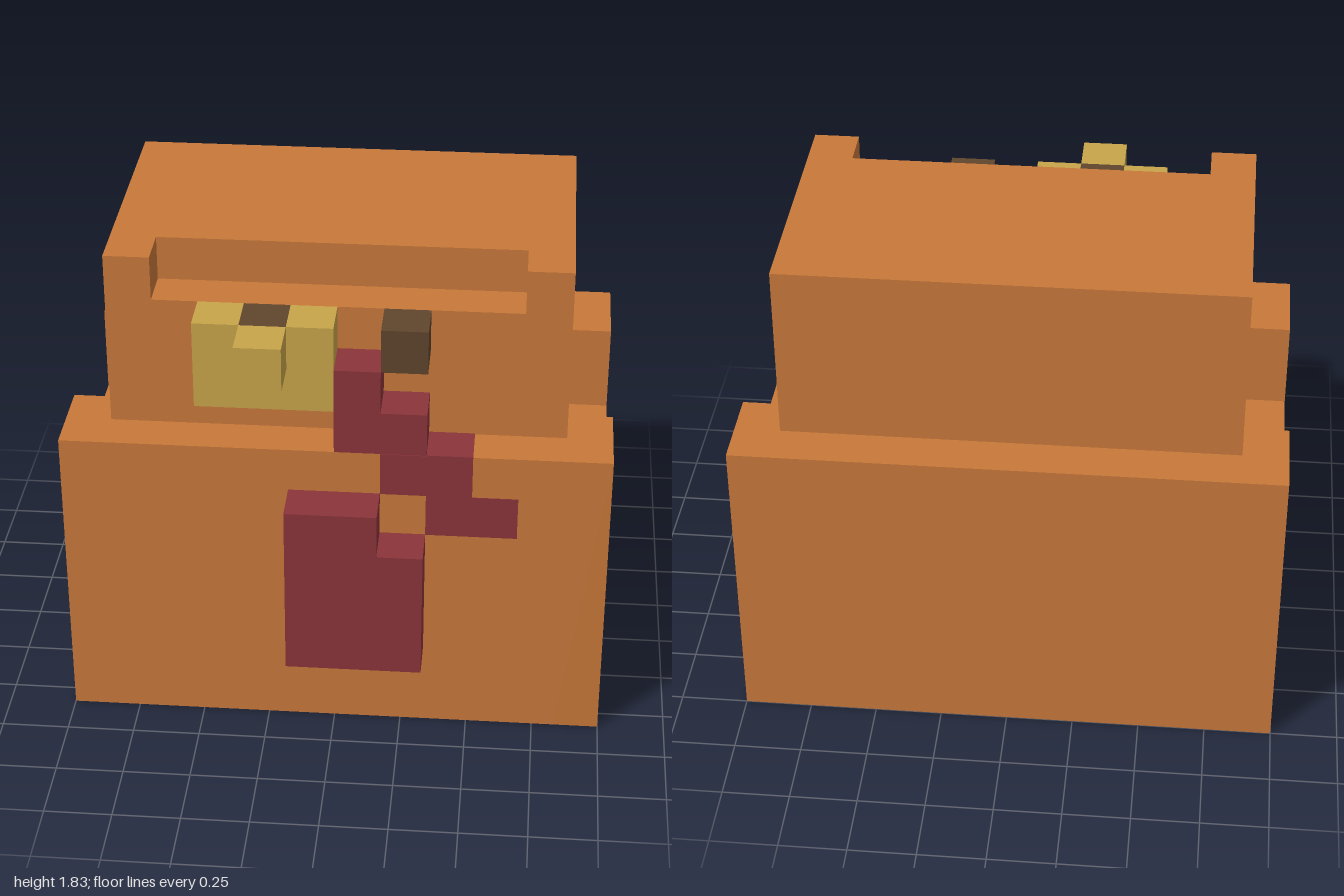
import * as THREE from 'three';

// One grid cell; all sizes below are counted in cells.
const U = 1 / 6;

function material(name, hex) {
  const m = new THREE.MeshStandardMaterial({ color: hex });
  m.name = name;
  return m;
}

export function createModel() {
  const model = new THREE.Group();
  model.name = 'blockCreature';

  const orange = material('orange', 0xc8783a);
  const yellow = material('yellow', 0xc8a54a);
  const brown = material('darkBrown', 0x5f452d);
  const maroon = material('maroon', 0x8b343a);

  function add(name, geometry, mat) {
    const mesh = new THREE.Mesh(geometry, mat);
    mesh.name = name;
    model.add(mesh);
    return mesh;
  }

  // Box spanning [x0,x1] x [y0,y1] x [z0,z1] in cells
  function block(name, mat, [x0, x1], [y0, y1], [z0, z1]) {
    const g = new THREE.BoxGeometry((x1 - x0) * U, (y1 - y0) * U, (z1 - z0) * U);
    g.translate((x0 + x1) * U / 2, (y0 + y1) * U / 2, (z0 + z1) * U / 2);
    return add(name, g, mat);
  }

  // Outline in cells, extruded one cell along +z
  function slab(points) {
    const shape = new THREE.Shape(points.map(([x, y]) => new THREE.Vector2(x * U, y * U)));
    return new THREE.ExtrudeGeometry(shape, { depth: U, bevelEnabled: false });
  }

  // Body core, with a notched slab on each side
  block('bodyCore', orange, [-5, 5], [0, 7], [-4.5, 3.5]);
  const sideOutline = [[-3.5, 0], [4.5, 0], [4.5, 7], [2.5, 7], [2.5, 5], [-1.5, 5], [-1.5, 7], [-3.5, 7]];
  for (const [name, x] of [['bodySideLeft', 5], ['bodySideRight', -6]]) {
    const g = slab(sideOutline);
    g.rotateY(Math.PI / 2); // outline x becomes -z, depth becomes +x
    g.translate(x * U, 0, 0);
    add(name, g, orange);
  }

  // Head, with a shallow step cut into the top front edge
  block('head', orange, [-5, 5], [7, 11], [-3.5, 1.5]);
  const brow = slab([[-5, 7], [5, 7], [5, 11], [4, 11], [4, 10], [-4, 10], [-4, 11], [-5, 11]]);
  brow.translate(0, 0, 1.5 * U);
  add('headFront', brow, orange);

  // Muzzle with a dark cell behind the protruding nose
  const face = [2.5, 3.5];
  block('muzzleLower', yellow, [-3, 0], [8, 9], face);
  block('muzzleRight', yellow, [-3, -2], [9, 10], face);
  block('muzzleLeft', yellow, [-1, 0], [9, 10], face);
  block('eyeRight', brown, [-2, -1], [9, 10], face);
  block('nose', yellow, [-2, -1], [9, 10], [3.5, 4.5]);
  block('eyeLeft', brown, [1, 2], [9, 10], face);

  // Stepped stripe: raised blocks above, painted plates on the body
  block('stripeTop', maroon, [0, 1], [8, 9], face);
  block('stripeMiddle', maroon, [0, 2], [7, 8], face);
  const t = 0.02;
  block('stripeUpperPaint', maroon, [1, 3], [6, 7], [3.5, 3.5 + t]);
  block('stripeLowerPaint', maroon, [2, 4], [5, 6], [3.5, 3.5 + t]);
  block('stripeShelfPaint', maroon, [2, 3], [7, 7 + t], [2.5, 3.5 + t]);

  // Raised chest patch with one stepped corner
  const patch = slab([[-1, 2], [2, 2], [2, 5], [1, 5], [1, 6], [-1, 6]]);
  patch.translate(0, 0, 3.5 * U);
  add('chestPatch', patch, maroon);

  return model;
}
